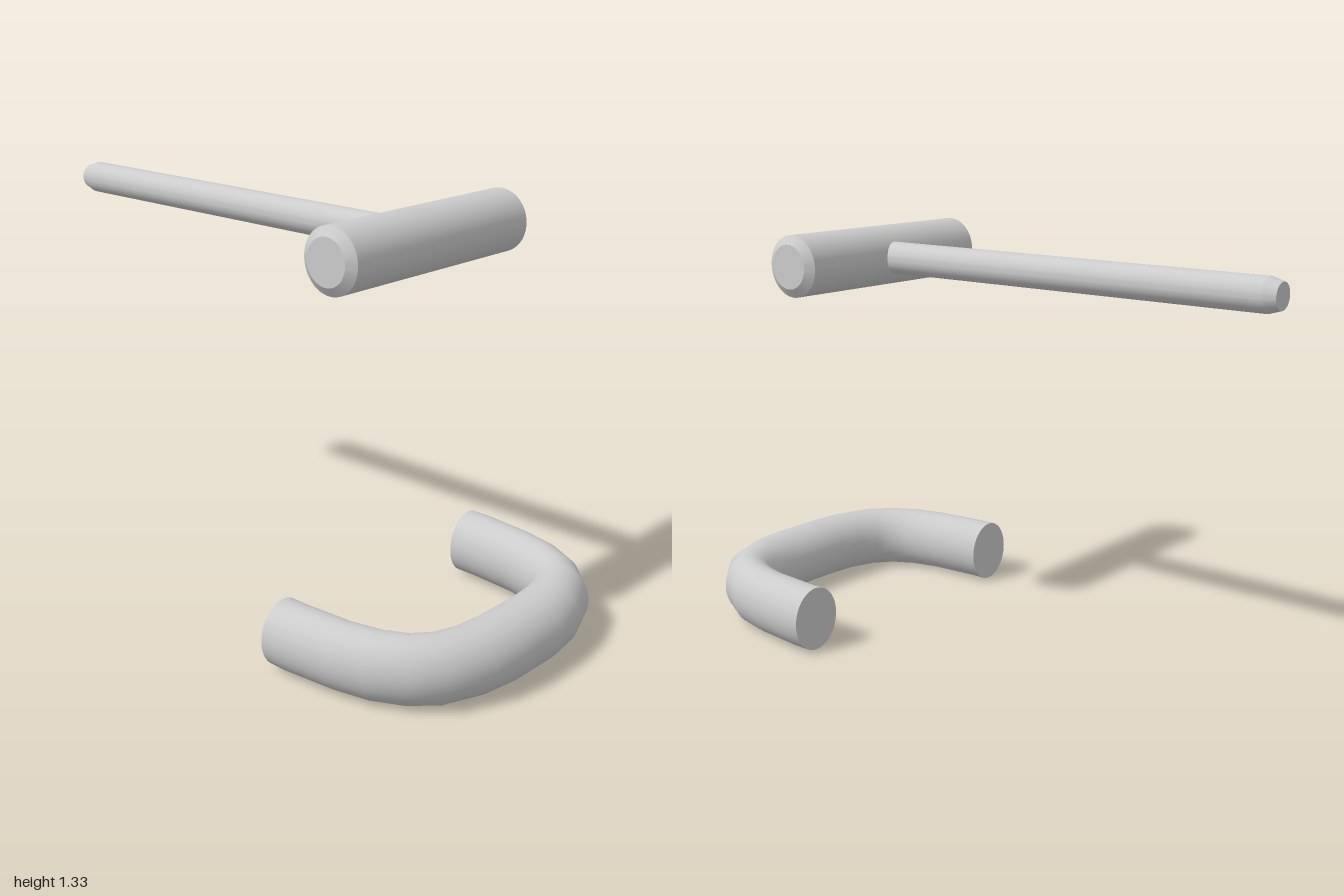
import * as THREE from 'three';
import { toCreasedNormals } from 'three/addons/utils/BufferGeometryUtils.js';

const material = new THREE.MeshStandardMaterial({ color: 0xcccccc });

// Round bar turned about y from [radius, height] pairs, with sharp chamfer edges
function turned(name, profile) {
  const points = profile.map(([r, y]) => new THREE.Vector2(r, y));
  const geometry = toCreasedNormals(new THREE.LatheGeometry(points, 48), 0.2);
  const mesh = new THREE.Mesh(geometry, material);
  mesh.name = name;
  return mesh;
}

// Bent grip: elliptical rings swept through paired outer and inner edge points
function gripGeometry() {
  const half = [ // outer x, z, inner x, z
    [0.534, 0.38, 0.354, 0.38],
    [0.534, 0.44, 0.354, 0.44],
    [0.514, 0.61, 0.344, 0.60],
    [0.487, 0.73, 0.322, 0.685],
    [0.429, 0.84, 0.294, 0.735],
    [0.344, 0.925, 0.252, 0.765],
    [0.206, 0.98, 0.185, 0.783],
    [0.09, 0.998, 0.09, 0.79],
  ];
  const mirrored = half.map(([ox, oz, ix, iz]) => [-ox, oz, -ix, iz]).reverse();
  const rings = [...half, ...mirrored];
  const sides = 40, ry = 0.105;
  const position = [], index = [];
  const addRing = ([ox, oz, ix, iz]) => {
    for (let j = 0; j < sides; j++) {
      const a = (j / sides) * Math.PI * 2, c = Math.cos(a) / 2;
      position.push((ox + ix) / 2 + (ox - ix) * c, ry + ry * Math.sin(a), (oz + iz) / 2 + (oz - iz) * c);
    }
  };
  rings.forEach(addRing);
  for (let i = 0; i < rings.length - 1; i++) {
    for (let j = 0; j < sides; j++) {
      const a = i * sides + j, b = i * sides + (j + 1) % sides;
      index.push(a, b, a + sides, b, b + sides, a + sides);
    }
  }
  // Flat end caps with their own vertices
  [rings[0], rings[rings.length - 1]].forEach((ring, end) => {
    const start = position.length / 3;
    addRing(ring);
    for (let j = 1; j < sides - 1; j++) {
      if (end === 0) index.push(start, start + j + 1, start + j);
      else index.push(start, start + j, start + j + 1);
    }
  });
  const geometry = new THREE.BufferGeometry();
  geometry.setAttribute('position', new THREE.Float32BufferAttribute(position, 3));
  geometry.setIndex(index);
  geometry.computeVertexNormals();
  return geometry;
}

export function createModel() {
  const group = new THREE.Group();

  // U-shaped grip
  const grip = new THREE.Mesh(gripGeometry(), material);
  grip.name = 'grip';
  group.add(grip);

  // Crossbar with chamfered ends
  const crossbar = turned('crossbar', [
    [0, -0.4], [0.07, -0.4], [0.098, -0.38], [0.098, 0.38], [0.07, 0.4], [0, 0.4],
  ]);
  crossbar.rotation.z = Math.PI / 2;
  crossbar.position.set(0, 1.231, 0.5);
  group.add(crossbar);

  // Long pin running back from the crossbar to a chamfered tip
  const pin = turned('pin', [
    [0, -0.43], [0.052, -0.43], [0.052, 0.96], [0.04, 1], [0, 1],
  ]);
  pin.rotation.x = -Math.PI / 2;
  pin.position.y = 1.231;
  group.add(pin);

  return group;
}
